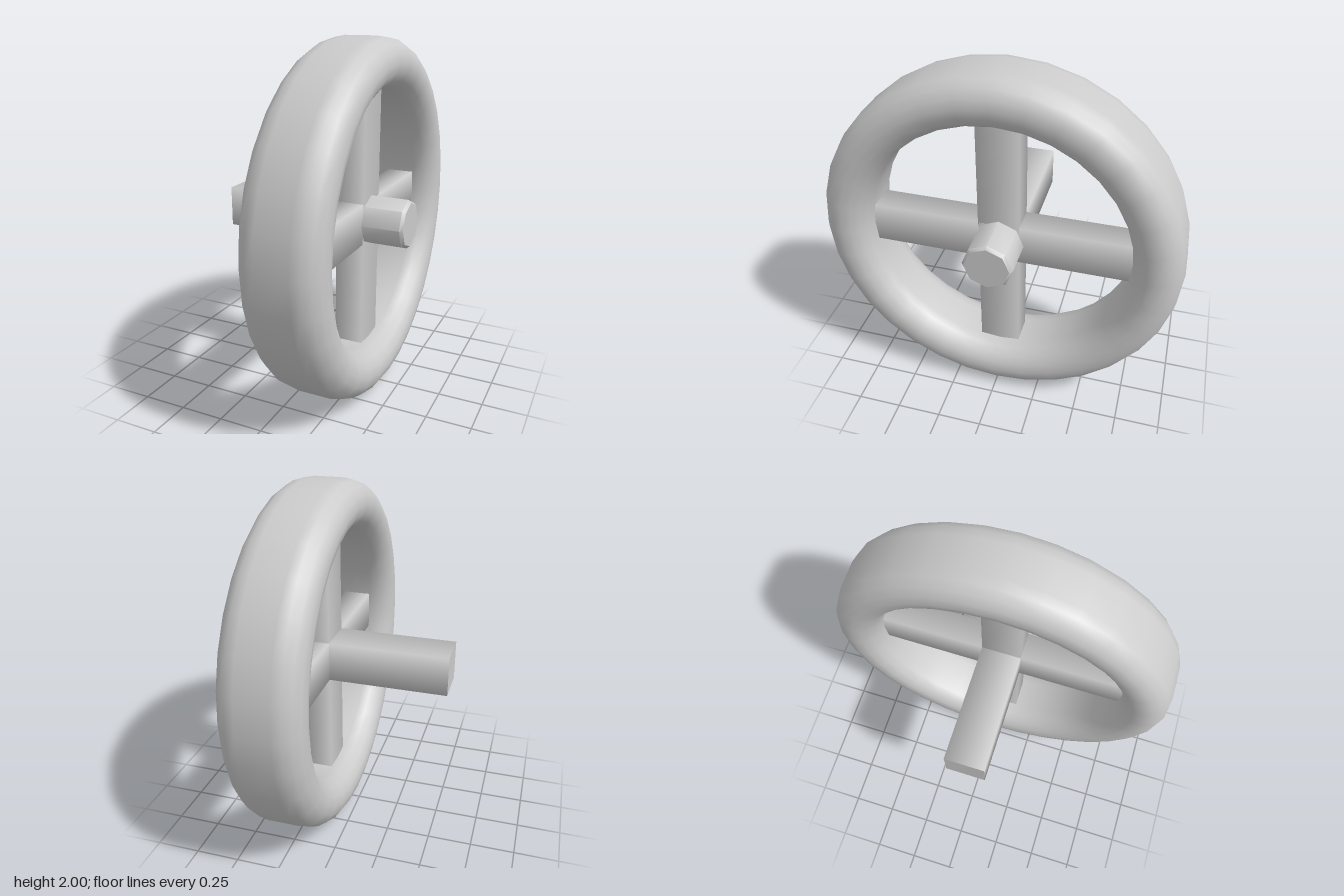
import * as THREE from 'three';
import { toCreasedNormals } from 'three/addons/utils/BufferGeometryUtils.js';

const material = new THREE.MeshStandardMaterial({ color: 0xcccccc });
const MID = 0.225; // middle of the rim's width, on x

function add(group, name, geometry, x = 0) {
  const mesh = new THREE.Mesh(geometry, material);
  mesh.name = name;
  mesh.position.x = x;
  group.add(mesh);
  return mesh;
}

// Square bar along y with smooth normals, given its x and z thickness
function bar(width, length, depth) {
  const g = new THREE.CylinderGeometry(Math.SQRT1_2, Math.SQRT1_2, length, 4);
  g.rotateY(Math.PI / 4);
  return g.scale(width, 1, depth);
}

// Closed, rounded rim section, starting at the middle of its inner flat
function rimProfile() {
  const radius = 0.865, r = 0.135, half = 0.225 - r, steps = 8;
  const points = [new THREE.Vector2(radius - r, 0)];
  for (const [centre, start] of [[-half, Math.PI], [half, 0]]) {
    for (let i = 0; i <= steps; i++) {
      const a = start + (Math.PI * i) / steps;
      points.push(new THREE.Vector2(radius + r * Math.cos(a), centre + r * Math.sin(a)));
    }
  }
  points.push(points[0].clone());
  return points;
}

export function createModel() {
  const model = new THREE.Group();
  model.name = 'spokedWheel';
  const wheel = new THREE.Group();
  wheel.name = 'wheel';
  wheel.position.y = 1;
  model.add(wheel);

  // Rim
  add(wheel, 'rim', new THREE.LatheGeometry(rimProfile(), 32).rotateZ(-Math.PI / 2), MID);

  // Four spokes crossing at the hub
  for (let i = 0; i < 4; i++) {
    const spoke = bar(0.16, 0.85, 0.23).translate(0, 0.425, 0).rotateX((i * Math.PI) / 2);
    add(wheel, 'spoke', spoke, MID);
  }

  // Square axle behind the wheel
  add(wheel, 'axle', bar(0.23, 0.75, 0.23).rotateZ(Math.PI / 2), -0.165);

  // Eight-sided hub with a chamfered end
  const hubProfile = [[0, 0], [0.14, 0], [0.14, 0.32], [0.125, 0.338], [0, 0.338]]
    .map(([x, y]) => new THREE.Vector2(x, y));
  const hub = new THREE.LatheGeometry(hubProfile, 8).rotateZ(-Math.PI / 2);
  add(wheel, 'hubCap', toCreasedNormals(hub, 0.9), 0.2);

  return model;
}
